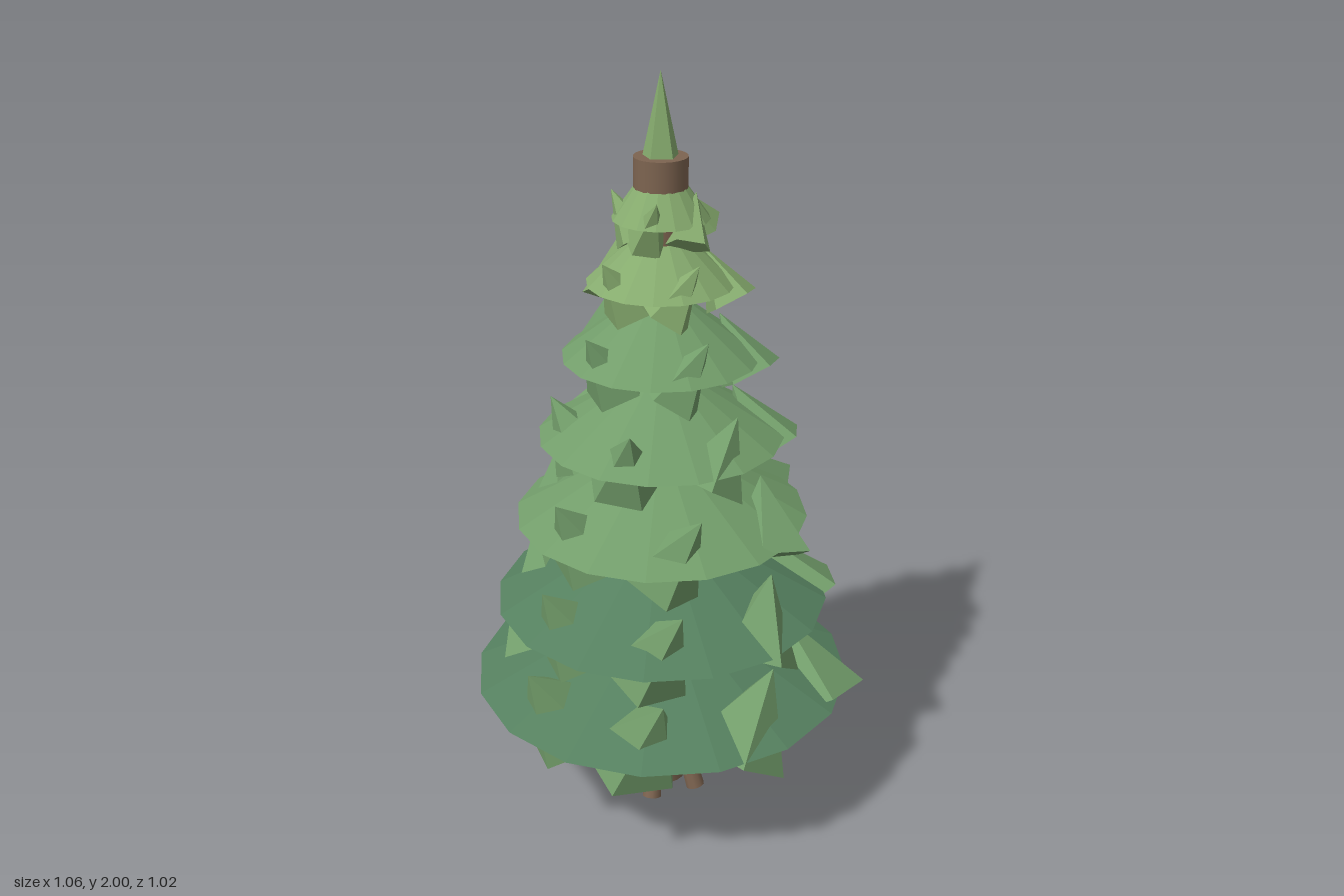
import * as THREE from 'three';

const mat = (color, flatShading = true) => new THREE.MeshStandardMaterial({ color, flatShading });
const UP = new THREE.Vector3(0, 1, 0);

export function createModel() {
  const tree = new THREE.Group();
  tree.name = 'pineTree';
  const bark = mat(0x7d6450, false);
  const dark = mat(0x55805f);
  const mid = mat(0x729d6a);
  const light = mat(0x86ab6e);

  const add = (name, geometry, material, parent = tree) => {
    const mesh = new THREE.Mesh(geometry, material);
    mesh.name = name;
    parent.add(mesh);
    return mesh;
  };

  // Trunk, running up through all the tiers
  add('trunk', new THREE.CylinderGeometry(0.066, 0.068, 1.78, 24), bark).position.y = 0.91;

  // Five splayed roots around the foot
  const roots = new THREE.Group();
  roots.name = 'roots';
  tree.add(roots);
  for (let i = 0; i < 5; i++) {
    const a = (i / 5) * Math.PI * 2;
    const top = new THREE.Vector3(Math.cos(a) * 0.05, 0.2, Math.sin(a) * 0.05);
    const foot = new THREE.Vector3(Math.cos(a) * 0.112, 0.01, Math.sin(a) * 0.112);
    const dir = top.clone().sub(foot);
    const root = add('root', new THREE.CylinderGeometry(0.021, 0.026, dir.length(), 10), bark, roots);
    root.position.copy(top).add(foot).multiplyScalar(0.5);
    root.quaternion.setFromUnitVectors(UP, dir.normalize());
  }

  // Tiers: base height, radius, cone height, tuft count, first tuft step, cone and tuft material
  const tiers = [
    [0.38, 0.505, 0.24, 8, 0, dark, mid],
    [0.615, 0.44, 0.24, 7, 0.5, dark, mid],
    [0.86, 0.38, 0.22, 6, 0, mid, mid],
    [1.085, 0.315, 0.2, 6, 0.5, mid, mid],
    [1.3, 0.25, 0.19, 5, 0.5, mid, mid],
    [1.49, 0.185, 0.17, 5, 0.5, light, light],
    [1.65, 0.12, 0.17, 5, 0, light, light],
  ];
  tiers.forEach(([y, r, h, count, first, coneMat, tuftMat], t) => {
    const tier = new THREE.Group();
    tier.name = 'tier' + (t + 1);
    tier.position.y = y;
    tree.add(tier);
    add('needleSkirt', new THREE.ConeGeometry(r, h, 16), coneMat, tier).position.y = h / 2;

    // Five-sided tufts poking through the skirt, their lean turning twice per lap
    const tuftShape = new THREE.ConeGeometry(0.03 + 0.225 * r, 0.1 + 0.28 * r, 5);
    for (let i = 0; i < count; i++) {
      const a = ((i + first) / count) * Math.PI * 2;
      const tuft = add('needleTuft', tuftShape, tuftMat, tier);
      tuft.position.set(Math.cos(a) * r * 0.74, r * 0.09, Math.sin(a) * r * 0.74);
      tuft.rotation.set(0, -2 * a, 0.58);
    }
  });

  // Pointed tip
  add('treeTip', new THREE.ConeGeometry(0.047, 0.21, 5), light).position.y = 1.895;

  tree.position.x = -0.023;
  const model = new THREE.Group();
  model.add(tree);
  return model;
}
